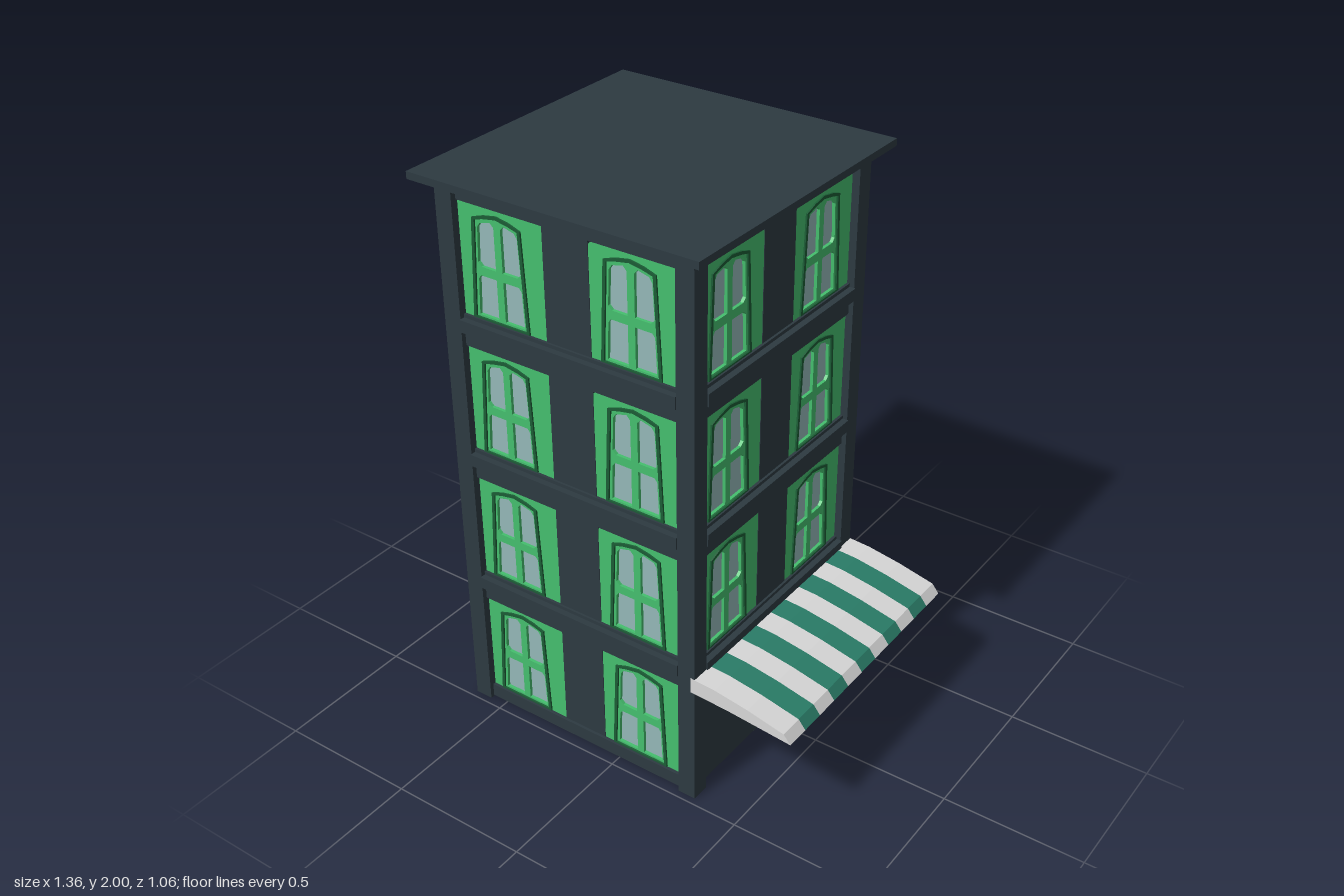
import * as THREE from 'three';

const mat = (name, color) => {
  const m = new THREE.MeshStandardMaterial({ color });
  m.name = name;
  return m;
};

export function createModel() {
  const wall = mat('slate wall', 0x2d3a41);
  const green = mat('window green', 0x45bf6e);
  const trim = mat('dark green trim', 0x1b5c35);
  const glass = mat('pale glass', 0x94b8b8);
  const wood = mat('door brown', 0x472c10);
  const dark = mat('dark brown', 0x2e1c0a);
  const white = mat('awning white', 0xd8d8d8);
  const teal = mat('awning green', 0x2a7d68);

  const model = new THREE.Group();
  model.name = 'cornerBuilding';
  const building = new THREE.Group();
  building.name = 'building';
  building.position.x = -0.15;
  model.add(building);

  const add = (parent, name, geo, material, x = 0, y = 0, z = 0) => {
    const m = new THREE.Mesh(geo, material);
    m.name = name;
    m.position.set(x, y, z);
    parent.add(m);
    return m;
  };
  // box given by its lower and upper limits
  const box = (parent, name, material, x0, x1, y0, y1, z0, z1) =>
    add(parent, name, new THREE.BoxGeometry(x1 - x0, y1 - y0, z1 - z0), material,
      (x0 + x1) / 2, (y0 + y1) / 2, (z0 + z1) / 2);
  const vecs = pts => pts.map(([x, y]) => new THREE.Vector2(x, y));
  const extrude = (outline, holes, depth) => {
    const s = new THREE.Shape(vecs(outline));
    holes.forEach(h => s.holes.push(new THREE.Path(vecs(h))));
    return new THREE.ExtrudeGeometry(s, { depth, bevelEnabled: false });
  };

  // core, corner pillars and roof slab
  box(building, 'core', wall, -0.445, 0.43, 0.004, 1.975, -0.43, 0.43);
  for (const sx of [-1, 1]) for (const sz of [-1, 1])
    add(building, 'cornerPillar', new THREE.BoxGeometry(0.065, 1.975, 0.065), wall,
      sx * 0.4425, 0.9875, sz * 0.4425);
  box(building, 'roof', wall, -0.53, 0.53, 1.975, 2, -0.53, 0.53);

  // window outlines, measured from the window's bottom centre
  const arch = d => [[-0.111 + d, d * 0.5], [0.111 - d, d * 0.5], [0.094 - d, 0.338 - d * 0.5],
    [0.05, 0.353 - d], [0, 0.362 - d], [-0.05, 0.353 - d], [-0.094 + d, 0.338 - d * 0.5]];
  const mirror = pts => pts.map(([x, y]) => [-x, y]).reverse();
  const lower = [[0.013, 0.014], [0.09, 0.014], [0.084, 0.138], [0.074, 0.15], [0.013, 0.15]];
  const upper = [[0.013, 0.18], [0.07, 0.18], [0.083, 0.193], [0.077, 0.31], [0.066, 0.326],
    [0.026, 0.336], [0.013, 0.322]];
  const panes = [lower, upper, mirror(lower), mirror(upper)];
  const ringGeo = extrude(arch(0), [arch(0.011)], 0.008);
  const glassGeo = new THREE.PlaneGeometry(0.2, 0.345);
  const shift = -0.0125;
  const panelGeo = side => {
    const w = 0.1625, h = 0.383, c = 0.014;
    const outline = [[-w, 0], [w, 0], [w, h - c], [w - c, h], [-w, h]];
    return extrude(side < 0 ? outline : mirror(outline),
      panes.map(p => p.map(([x, y]) => [x + shift, y])), 0.018);
  };
  const panelGeos = { '-1': panelGeo(-1), '1': panelGeo(1) };

  const rowBase = i => 0.053 + i * 0.4925;

  // one facade, facing +z before it is turned
  function facade(name, angle, firstRow) {
    const f = new THREE.Group();
    f.name = name;
    f.rotation.y = angle;
    building.add(f);
    box(f, 'pier', wall, -0.085, 0.085, 0, 1.975, 0.42, 0.45);
    box(f, 'topBand', wall, -0.41, 0.41, rowBase(3) + 0.383, 1.975, 0.42, 0.455);
    for (let i = firstRow; i < 4; i++) {
      const y = rowBase(i);
      if (i === 0) box(f, 'baseBand', wall, -0.41, 0.41, 0.004, y, 0.42, 0.46);
      else {
        box(f, 'floorBand', wall, -0.41, 0.41, y - 0.11, y, 0.42, 0.458);
        box(f, 'floorLedge', wall, -0.41, 0.41, y - 0.055, y - 0.012, 0.42, 0.48);
      }
      for (const s of [-1, 1]) {
        const win = new THREE.Group();
        win.name = 'window';
        win.position.set(s * 0.2475, y, 0);
        f.add(win);
        add(win, 'windowPanel', panelGeos[s], green, 0, 0, 0.43);
        add(win, 'windowTrim', ringGeo, trim, shift, 0.002, 0.446);
        add(win, 'windowGlass', glassGeo, glass, shift, 0.175, 0.437);
      }
    }
    return f;
  }
  facade('frontFacade', 0, 0);
  facade('backFacade', Math.PI, 0);
  const shop = facade('rightFacade', Math.PI / 2, 1);

  // shop front with panelled door
  box(shop, 'shopWall', wall, -0.41, 0.41, 0.004, 0.45, 0.42, 0.45);
  box(shop, 'door', wood, 0.05, 0.39, 0.015, 0.43, 0.43, 0.457);
  add(shop, 'doorGroove', extrude(
    [[0.083, 0.03], [0.355, 0.03], [0.355, 0.405], [0.083, 0.405]],
    [[[0.088, 0.035], [0.35, 0.035], [0.35, 0.4], [0.088, 0.4]]], 0.003), dark, 0, 0, 0.456);
  add(shop, 'doorKnob', new THREE.SphereGeometry(0.017, 12, 8), dark, 0.368, 0.22, 0.47);

  // striped awning, slightly skewed along its length
  const awning = new THREE.Group();
  awning.name = 'awning';
  model.add(awning);
  const profile = [[0.31, 0.45], [0.45, 0.436], [0.66, 0.406], [0.677, 0.403], [0.652, 0.436],
    [0.52, 0.472], [0.4, 0.497], [0.31, 0.506]];
  const n = 11, width = 0.0867;
  for (let i = 0; i < n; i++) {
    const g = extrude(profile, [], width);
    const p = g.attributes.position;
    for (let k = 0; k < p.count; k++) p.setZ(k, p.getZ(k) - 0.045 * (p.getX(k) - 0.31));
    g.computeVertexNormals();
    add(awning, 'awningStripe', g, i % 2 ? teal : white, 0, 0, -0.477 + i * width);
  }
  return model;
}
